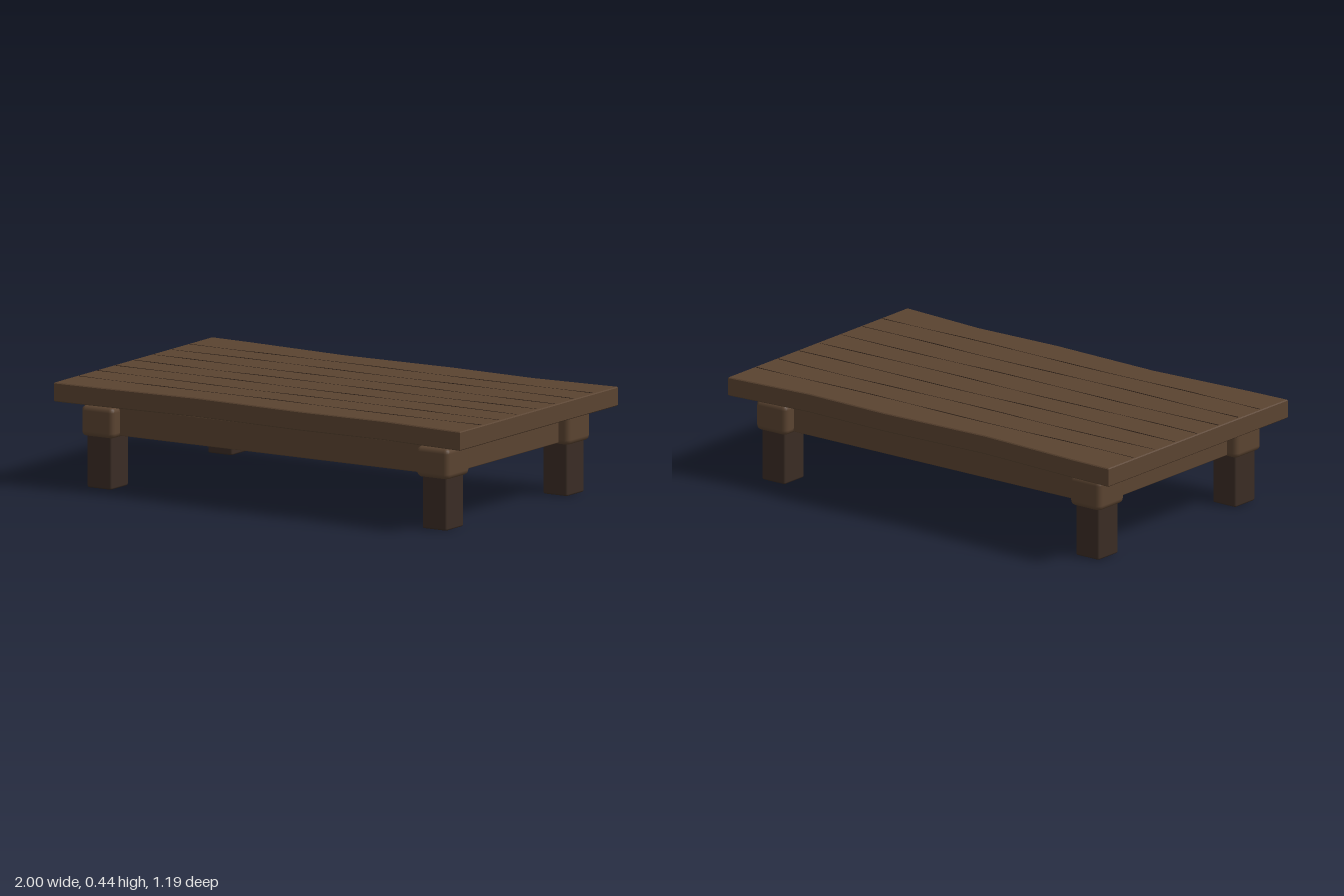
import * as THREE from 'three';
import { RoundedBoxGeometry } from 'three/addons/geometries/RoundedBoxGeometry.js';

export function createModel() {
  const table = new THREE.Group();
  table.name = 'lowTable';
  const wood = new THREE.MeshStandardMaterial({ color: 0x5a4330 });
  const darkWood = new THREE.MeshStandardMaterial({ color: 0x3a2c24 });
  const seamWood = new THREE.MeshStandardMaterial({ color: 0x2a1e16 });

  const add = (name, geometry, material, parent = table) => {
    const mesh = new THREE.Mesh(geometry, material);
    mesh.name = name;
    parent.add(mesh);
    return mesh;
  };
  const block = (name, parent, size, pos, radius, material) =>
    add(name, new RoundedBoxGeometry(...size, 2, radius), material, parent).position.set(...pos);

  // Tabletop slab with gently waving long edges
  const back = [[-1, -0.6], [-0.8, -0.594], [-0.32, -0.566], [0.2, -0.583], [0.6, -0.571], [1, -0.6]];
  const front = back.map(([x, z]) => [x, -z - 0.006]).reverse();
  const outline = new THREE.Shape([...back, ...front].map(([x, z]) => new THREE.Vector2(x, z)));
  const bevel = 0.004;
  const slab = new THREE.ExtrudeGeometry(outline, {
    depth: 0.08 - 2 * bevel, bevelThickness: bevel, bevelSize: bevel, bevelOffset: -bevel, bevelSegments: 1,
  });
  slab.rotateX(Math.PI / 2).translate(0, 0.44 - bevel, 0);
  add('tabletop', slab, wood);

  // Thin wavering seams between the planks
  for (let i = -3; i <= 3; i++) {
    const points = [];
    for (let k = 0; k <= 10; k++) {
      const x = -0.99 + k * 0.198;
      points.push(new THREE.Vector3(x, 0.4385 + 0.0008 * Math.sin(k * 2.3 + i), i * 0.14 + 0.004 * Math.sin(k * 1.1 + i * 2)));
    }
    add('plankSeam', new THREE.TubeGeometry(new THREE.CatmullRomCurve3(points), 60, 0.003, 6), seamWood);
  }

  // Four legs, each with a rounded corner block and a neck up to the slab
  for (const sx of [-1, 1]) for (const sz of [-1, 1]) {
    const leg = new THREE.Group();
    leg.name = 'legAssembly';
    leg.position.set(sx * 0.825, 0, sz * 0.455);
    table.add(leg);
    block('leg', leg, [0.12, 0.29, 0.13], [0, 0.145, 0], 0.008, darkWood);
    block('cornerBlock', leg, [0.16, 0.13, 0.17], [0, 0.282, 0], 0.022, wood);
    block('neck', leg, [0.12, 0.06, 0.13], [0, 0.332, 0], 0.012, wood);
  }

  // Rails joining the corner blocks
  for (const s of [-1, 1]) {
    block('longRail', table, [1.6, 0.12, 0.06], [0, 0.285, s * 0.455], 0.004, wood);
    block('endRail', table, [0.06, 0.12, 0.86], [s * 0.825, 0.285, 0], 0.004, wood);
  }
  return table;
}
